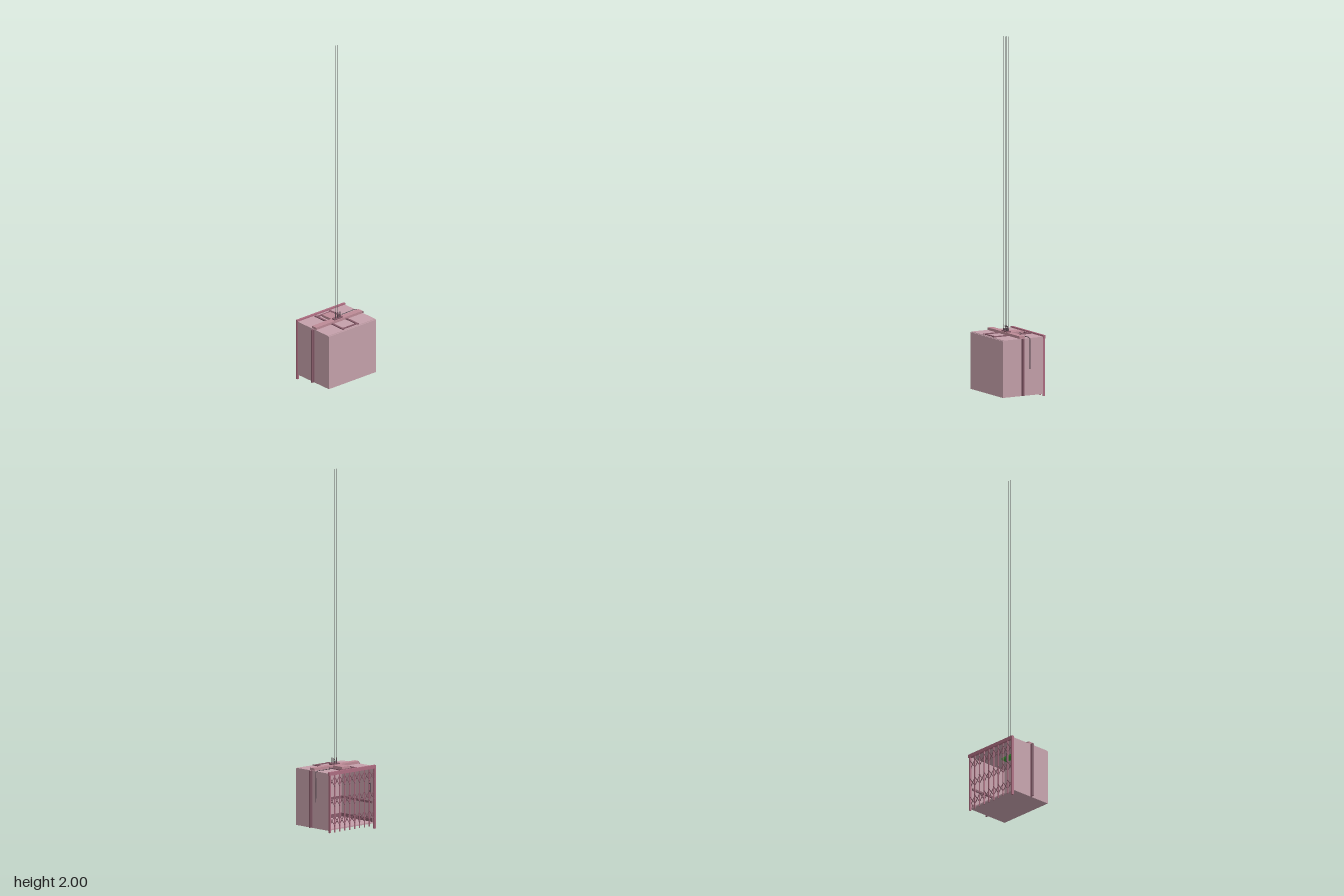
import * as THREE from 'three';

const mat = (color) => new THREE.MeshStandardMaterial({ color, side: THREE.DoubleSide });
const PANEL = mat(0xc4a0aa), BEAM = mat(0xbc8a96), DARK = mat(0x855a68);
const GATE = mat(0xac6c80), STEEL = mat(0x5a4a52), ROPE = mat(0x777777), GREEN = mat(0x3f9a3a);

export function createModel() {
  const root = new THREE.Group();

  const group = (name) => {
    const g = new THREE.Group();
    g.name = name;
    root.add(g);
    return g;
  };
  const add = (parent, name, geo, material, x = 0, y = 0, z = 0) => {
    const m = new THREE.Mesh(geo, material);
    m.name = name;
    m.position.set(x, y, z);
    parent.add(m);
    return m;
  };
  // Box given by its limits on each axis
  const box = (parent, name, material, x0, x1, y0, y1, z0, z1) =>
    add(parent, name, new THREE.BoxGeometry(x1 - x0, y1 - y0, z1 - z0), material,
      (x0 + x1) / 2, (y0 + y1) / 2, (z0 + z1) / 2);

  // Hollow car, open at the gate side
  const car = group('car');
  box(car, 'floor', PANEL, -0.173, 0.171, 0.028, 0.036, -0.122, 0.135);
  box(car, 'roof', PANEL, -0.173, 0.171, 0.339, 0.346, -0.122, 0.129);
  box(car, 'frontWall', PANEL, -0.173, 0.171, 0.036, 0.343, 0.129, 0.135);
  for (const [name, x] of [['rightWall', -0.170], ['leftWall', 0.168]])
    box(car, name, PANEL, x - 0.003, x + 0.003, 0.036, 0.339, -0.122, 0.129);

  // Interior handrail, skirting and ceiling lamp
  const interior = group('interior');
  for (const [name, y, h, d] of [['handrail', 0.14, 0.012, 0.008], ['skirting', 0.036, 0.02, 0.003]]) {
    box(interior, name, DARK, -0.166, 0.164, y, y + h, 0.129 - d, 0.129);
    box(interior, name, DARK, -0.167, -0.167 + d, y, y + h, -0.115, 0.129);
    box(interior, name, DARK, 0.165 - d, 0.165, y, y + h, -0.115, 0.129);
  }
  box(interior, 'ceilingLamp', GREEN, -0.09, 0.06, 0.328, 0.339, 0.005, 0.045);

  // Guide shoes: a dumbbell profile running up each side
  const guides = group('guides');
  const profile = new THREE.Shape();
  profile.moveTo(0, -0.006);
  [[0.004, -0.005], [0.007, -0.0025], [0.011, -0.0025], [0.013, -0.005], [0.016, -0.005],
    [0.018, 0], [0.016, 0.005], [0.013, 0.005], [0.011, 0.0025], [0.007, 0.0025],
    [0.004, 0.005], [0, 0.006]].forEach(([x, y]) => profile.lineTo(x, y));
  const guideGeo = new THREE.ExtrudeGeometry(profile, { depth: 0.316, bevelEnabled: false });
  guideGeo.rotateX(-Math.PI / 2);
  add(guides, 'leftGuide', guideGeo, DARK, 0.171, 0.03, 0.01);
  add(guides, 'rightGuide', guideGeo, DARK, -0.173, 0.03, 0.01).rotation.y = Math.PI;

  // Roof beam, control box and flat roof frame
  const roofGear = group('roofGear');
  box(roofGear, 'crosshead', BEAM, -0.17, 0.168, 0.345, 0.36, -0.007, 0.027);
  box(roofGear, 'controlBox', BEAM, -0.031, 0.029, 0.345, 0.36, -0.081, -0.007);
  for (const x of [-0.054, 0.051])
    box(roofGear, 'frameRunner', DARK, x - 0.006, x + 0.006, 0.345, 0.351, -0.112, 0.124);
  for (const z of [-0.099, 0.114])
    box(roofGear, 'frameCrossbar', DARK, -0.048, 0.045, 0.345, 0.351, z - 0.0045, z + 0.0045);
  box(roofGear, 'hitchPlate', DARK, -0.031, 0.03, 0.36, 0.366, -0.001, 0.022);

  // Hoist ropes with their sockets
  const hoist = group('hoist');
  const socketProfile = [[0.0035, 0], [0.0035, 0.012], [0.002, 0.016], [0.003, 0.024], [0.001, 0.036]]
    .map(([r, y]) => new THREE.Vector2(r, y));
  const socketGeo = new THREE.LatheGeometry(socketProfile, 8);
  const ropeGeo = new THREE.CylinderGeometry(0.0012, 0.0012, 1.63, 6);
  for (const [x, z] of [[-0.008, 0.003], [0.008, 0.003], [-0.019, 0.015], [-0.002, 0.015], [0.014, 0.015]]) {
    add(hoist, 'ropeSocket', socketGeo, STEEL, x, 0.365, z);
    add(hoist, 'hoistRope', ropeGeo, ROPE, x, 1.185, z);
  }

  // Loose power cable running over the roof and down the side
  const cablePath = new THREE.CatmullRomCurve3([
    [0.028, 0.353, -0.058], [0.048, 0.35, -0.061], [0.055, 0.349, -0.048], [0.066, 0.349, -0.034],
    [0.12, 0.349, -0.033], [0.165, 0.349, -0.034], [0.18, 0.342, -0.033], [0.181, 0.32, -0.033],
    [0.179, 0.25, -0.033], [0.182, 0.175, -0.033],
  ].map((p) => new THREE.Vector3(...p)));
  add(group('powerCable'), 'cable', new THREE.TubeGeometry(cablePath, 60, 0.0022, 6), STEEL);

  // Folding gate
  const gate = group('gate');
  box(gate, 'header', GATE, -0.175, 0.175, 0.335, 0.354, -0.135, -0.122);
  box(gate, 'closingPost', GATE, -0.175, -0.165, 0, 0.335, -0.135, -0.122);
  box(gate, 'fixedPost', GATE, 0.163, 0.171, 0.016, 0.335, -0.134, -0.123);
  const bays = 9, step = 0.337 / bays, startX = -0.17;
  for (let i = 1; i < bays; i++) {
    const x = startX + i * step;
    box(gate, 'gateBar', GATE, x - 0.003, x + 0.003, 0.016, 0.335, -0.131, -0.126);
  }
  // Scissor links in three bands
  const linkHeight = 0.05;
  const linkGeo = new THREE.BoxGeometry(0.004, Math.hypot(step, linkHeight), 0.002);
  const pinGeo = new THREE.CylinderGeometry(0.003, 0.003, 0.01, 8).rotateX(Math.PI / 2);
  for (const y of [0.075, 0.185, 0.295])
    for (let i = 0; i < bays; i++) {
      const x = startX + (i + 0.5) * step;
      for (const s of [-1, 1])
        add(gate, 'scissorLink', linkGeo, DARK, x, y, -0.1285 + s * 0.0038)
          .rotation.z = s * Math.atan2(step, linkHeight);
      add(gate, 'linkPin', pinGeo, DARK, x, y, -0.1285);
    }
  // Pull handle
  box(gate, 'handle', STEEL, -0.134, -0.129, 0.21, 0.26, -0.138, -0.135);
  for (const y of [0.212, 0.254])
    box(gate, 'handleMount', STEEL, -0.134, -0.129, y, y + 0.004, -0.136, -0.128);

  return root;
}
